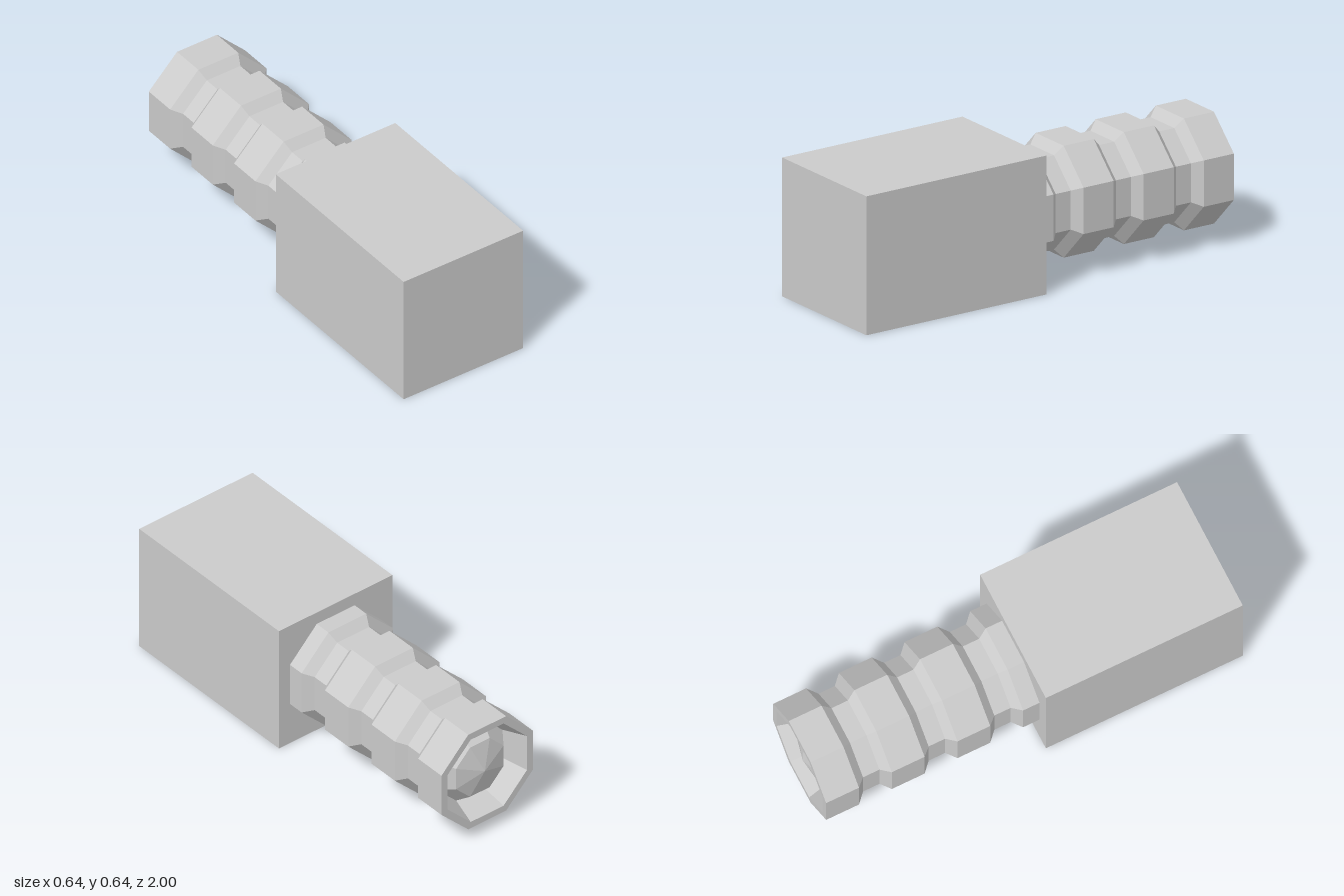
import * as THREE from 'three';

const SIDES = 8;
const CENTER_Y = 0.32;

// Octagonal lathe about the z axis; profile entries are [radius, z], running from front to back
function octagonLathe(name, profile, material) {
  const points = profile.map(([r, z]) => new THREE.Vector2(r, -z));
  const geometry = new THREE.LatheGeometry(points, SIDES, Math.PI / SIDES);
  geometry.rotateX(-Math.PI / 2);
  geometry.translate(0, CENTER_Y, 0);
  const mesh = new THREE.Mesh(geometry, material);
  mesh.name = name;
  return mesh;
}

export function createModel() {
  const group = new THREE.Group();
  group.name = 'model';
  const material = new THREE.MeshStandardMaterial({ color: 0xcccccc, flatShading: true });

  // Plain block at the front
  const block = new THREE.Mesh(new THREE.BoxGeometry(0.64, 0.64, 0.96), material);
  block.name = 'headBlock';
  block.position.set(0, CENTER_Y, 0.52);
  group.add(block);

  // Ribbed handle with three grooves
  const wide = 0.279, narrow = 0.235;
  const profile = [[wide, 0.04]];
  for (let i = 0; i < 3; i++) {
    const z = -0.04 - i * 0.32;
    profile.push([wide, z], [narrow, z - 0.04], [narrow, z - 0.12], [wide, z - 0.16]);
  }
  // Rim and tapered socket at the back end
  profile.push([wide, -1], [0.243, -1], [0.2, -0.88]);
  group.add(octagonLathe('ribbedHandle', profile, material));

  // Faceted dome seated in the socket
  group.add(octagonLathe('endDome', [[0.2, -0.88], [0.145, -0.95], [0, -0.985]], material));

  return group;
}
